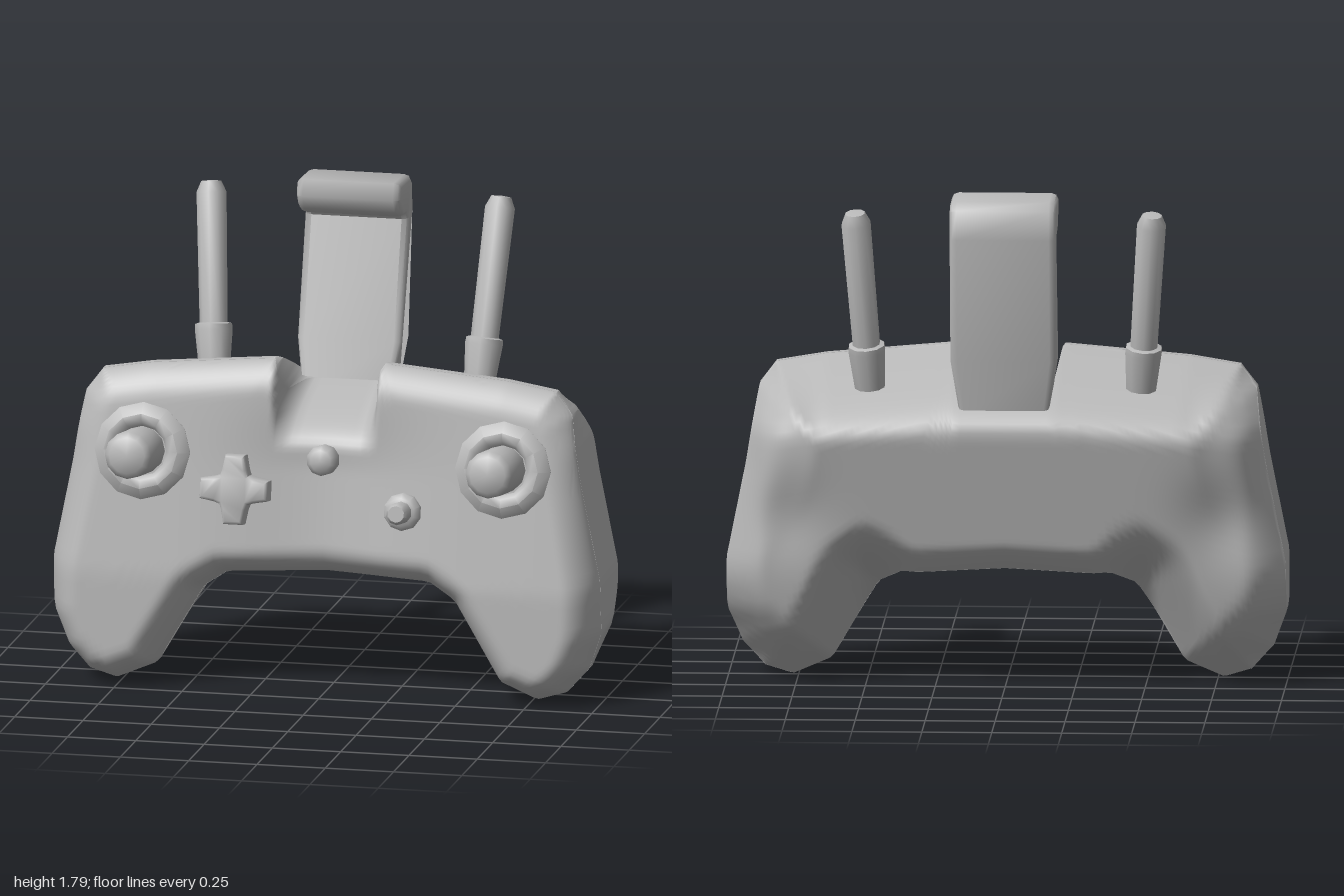
import * as THREE from 'three';
import { toCreasedNormals } from 'three/addons/utils/BufferGeometryUtils.js';

const { lerp, clamp, smoothstep } = THREE.MathUtils;
const grey = new THREE.MeshStandardMaterial({ color: 0xb8b8b8 });
grey.name = 'grey plastic';

function addMesh(parent, name, geometry, crease = 0.9) {
  const mesh = new THREE.Mesh(toCreasedNormals(geometry, crease), grey);
  mesh.name = name;
  parent.add(mesh);
  return mesh;
}

// Straight-segment path through [x, y] points, sampled by length.
function path(points) {
  const curve = new THREE.CurvePath();
  const pts = points.map(p => new THREE.Vector2(...p));
  for (let i = 1; i < pts.length; i++) curve.add(new THREE.LineCurve(pts[i - 1], pts[i]));
  return t => curve.getPoint(clamp(t, 0, 1));
}

// Right half of the body outline
const bottomPts = [[0, 0.43], [0.37, 0.41], [0.46, 0.35], [0.63, 0.06], [0.77, 0], [0.87, 0.03]];
const sidePts = [[0.87, 0.03], [0.95, 0.12], [1, 0.26], [1, 0.45], [0.93, 0.8], [0.89, 1.05], [0.83, 1.13]];
const topPts = [[0.195, 1.2], [0.65, 1.16], [0.83, 1.13]];
const notchPts = [[0, 1.07], [0.165, 1.07]];
const rim = [...bottomPts, ...sidePts.slice(1, -1), ...topPts.slice().reverse(), [0, 1.2]];

function rimDistance(x, y) {
  let best = 9;
  for (let i = 1; i < rim.length; i++) {
    const [ax, ay] = rim[i - 1], [bx, by] = rim[i];
    const dx = bx - ax, dy = by - ay;
    const t = clamp(((x - ax) * dx + (y - ay) * dy) / (dx * dx + dy * dy), 0, 1);
    best = Math.min(best, Math.hypot(x - ax - dx * t, y - ay - dy * t));
  }
  return best < 1e-3 ? 0 : best;
}

// Front and back depth of the body at a point of its outline
function depths(x, y) {
  const d = rimDistance(x, y);
  const arch = (1 - smoothstep(x, 0.3, 0.54)) * (1 - smoothstep(y, 0.55, 0.85));
  const flank = smoothstep(x, 0.66, 0.88) * smoothstep(y, 0.06, 0.42) * (1 - smoothstep(y, 0.9, 1.12));
  const front = 0.14 + (1.15 - Math.max(y, 0.42)) * 0.15 + clamp(0.42 - y, 0, 0.3) * 0.04
    - 0.05 * Math.exp(-((x / 0.3) ** 2)) * (1 - smoothstep(y, 0.8, 1.15));
  const dip = 0.045 * Math.exp(-(((x - 0.8) / 0.15) ** 2) - (((y - 0.62) / 0.16) ** 2));
  const back = -0.41 + clamp(0.92 - y, 0, 1) * 0.21 + dip;
  const tf = clamp(d / 0.115, 0, 1);
  const tb = clamp(d / lerp(lerp(0.25, 0.14, flank), 0.1, arch), 0, 1);
  const edgeFront = 0.06 + 0.05 * flank, edgeBack = 0.03 - 0.27 * arch - 0.21 * flank;
  const rounded = lerp(edgeFront, front, Math.pow(1 - (1 - tf) ** 2, 0.7));
  // ramp that leads from the front up to the holder foot
  const ts = clamp((1.07 - y) / 0.19, 0, 1);
  const ramp = lerp(-0.2, rounded, 1 - (1 - ts) ** 2);
  return [
    lerp(ramp, rounded, smoothstep(x, 0.13, 0.195)),
    lerp(edgeBack, back, 1 - (1 - tb) ** 1.65),
  ];
}

// Body: a patch spanned by the outline, pushed out to the front and back
function bodyGeometry() {
  const B = path(bottomPts), S = path(sidePts), T = path([...notchPts, ...topPts]);
  const half = 52, nu = half * 2, nv = 48;
  const pos = [], index = [];
  for (let j = 0; j <= nv; j++) {
    const v = (1 - Math.cos(Math.PI * j / nv)) / 2;
    for (let i = 0; i <= nu; i++) {
      const k = (i - half) / half;
      const u = Math.sin(Math.abs(k) * Math.PI / 2);
      const b = B(u), t = T(u), s = S(v), s0 = S(0), s1 = S(1);
      const x = lerp(b.x, t.x, v) + u * (s.x - lerp(s0.x, s1.x, v));
      const y = lerp(b.y, t.y, v) + u * (s.y - lerp(s0.y, s1.y, v));
      const [zf, zb] = depths(x, y), sx = Math.sign(k) * x;
      pos.push(sx, y, zf, sx, y, zb);
    }
  }
  const id = (i, j) => 2 * (j * (nu + 1) + i);
  const quad = (a, b, c, d) => index.push(a, b, c, a, c, d);
  for (let j = 0; j < nv; j++) {
    for (let i = 0; i < nu; i++) {
      const a = id(i, j), b = id(i + 1, j), c = id(i + 1, j + 1), d = id(i, j + 1);
      quad(a, b, c, d);
      quad(a + 1, d + 1, c + 1, b + 1);
    }
  }
  // strip that closes the rim, including the phone holder notch
  const loop = [];
  for (let i = 0; i < nu; i++) loop.push(id(i, 0));
  for (let j = 0; j < nv; j++) loop.push(id(nu, j));
  for (let i = nu; i > 0; i--) loop.push(id(i, nv));
  for (let j = nv; j > 0; j--) loop.push(id(0, j));
  loop.forEach((a, n) => {
    const b = loop[(n + 1) % loop.length];
    quad(a, a + 1, b + 1, b);
  });
  const g = new THREE.BufferGeometry();
  g.setAttribute('position', new THREE.Float32BufferAttribute(pos, 3));
  g.setIndex(index);
  return g;
}

// Turned part standing at a point and pointing along a direction
function turned(parent, name, profile, sides, at, dir) {
  const pts = profile.map(p => new THREE.Vector2(...p));
  const mesh = addMesh(parent, name, new THREE.LatheGeometry(pts, sides));
  mesh.position.set(...at);
  mesh.quaternion.setFromUnitVectors(new THREE.Vector3(0, 1, 0), new THREE.Vector3(...dir).normalize());
}

export function createModel() {
  const model = new THREE.Group();
  model.name = 'remoteController';
  addMesh(model, 'body', bodyGeometry(), 1.3);

  // Sticks and antennas, mirrored
  const out = [0, 0.15, 1];
  for (const s of [-1, 1]) {
    const side = s > 0 ? 'left' : 'right';
    turned(model, side + 'StickBase',
      [[0.17, -0.05], [0.175, 0.02], [0.135, 0.055], [0.105, 0.05], [0.09, 0.03], [0, 0.03]], 12, [s * 0.66, 0.86, 0.165], out);
    turned(model, side + 'Stick',
      [[0.085, 0], [0.085, 0.245], [0.065, 0.265], [0, 0.27]], 12, [s * 0.66, 0.865, 0.175], out);
    const lean = [s * 0.045, 0.64, -0.15], foot = [s * 0.485, 1.08, -0.21];
    turned(model, side + 'AntennaCollar',
      [[0.056, 0], [0.068, 0.14], [0.066, 0.16], [0.05, 0.165]], 10, foot, lean);
    turned(model, side + 'Antenna',
      [[0.05, 0.1], [0.054, 0.63], [0.036, 0.67], [0, 0.673]], 10, foot, lean);
  }

  // Centre button and small joystick
  turned(model, 'centreButton',
    [[0.055, 0], [0.055, 0.055], [0.038, 0.075], [0, 0.078]], 10, [0, 0.858, 0.15], out);
  turned(model, 'smallStickBase',
    [[0.068, 0], [0.068, 0.04], [0.05, 0.06], [0, 0.06]], 10, [0.297, 0.69, 0.175], out);
  turned(model, 'smallStick',
    [[0.04, 0], [0.04, 0.125], [0.03, 0.138], [0, 0.138]], 10, [0.297, 0.69, 0.175], out);

  // Direction pad with tapered arms
  const corners = [];
  for (let i = 0; i < 4; i++) {
    const c = Math.round(Math.cos(i * Math.PI / 2)), n = Math.round(Math.sin(i * Math.PI / 2));
    for (const [x, y] of [[0.07, -0.034], [0.113, -0.026], [0.113, 0.026], [0.07, 0.034], [0.043, 0.043]]) {
      corners.push(new THREE.Vector2(x * c - y * n, x * n + y * c));
    }
  }
  const pad = addMesh(model, 'directionPad', new THREE.ExtrudeGeometry(new THREE.Shape(corners),
    { depth: 0.05, bevelEnabled: true, bevelSize: 0.012, bevelThickness: 0.02, bevelSegments: 2 }), 0.8);
  pad.position.set(-0.315, 0.74, 0.175);
  pad.rotation.x = -0.149;

  // Phone holder: side profile as [depth, height], extruded across
  const profile = [[-0.34, 1.02], [-0.366, 1.2], [-0.43, 1.65], [-0.425, 1.745], [-0.4, 1.765], [-0.25, 1.77],
    [-0.24, 1.73], [-0.265, 1.69], [-0.3, 1.67], [-0.36, 1.665], [-0.385, 1.63], [-0.26, 1.2], [-0.205, 1.02]];
  const shape = new THREE.Shape(profile.map(([z, y]) => new THREE.Vector2(-z, y)));
  const holder = new THREE.ExtrudeGeometry(shape,
    { depth: 0.33, bevelEnabled: true, bevelSize: 0.018, bevelThickness: 0.025, bevelSegments: 2 });
  holder.translate(0, 0, -0.165).rotateY(Math.PI / 2);
  // narrow the foot so it fits the notch
  const p = holder.attributes.position;
  for (let i = 0; i < p.count; i++) if (p.getY(i) < 1.1) p.setX(i, p.getX(i) * 0.85);
  addMesh(model, 'phoneHolder', holder, 0.9);

  return model;
}
